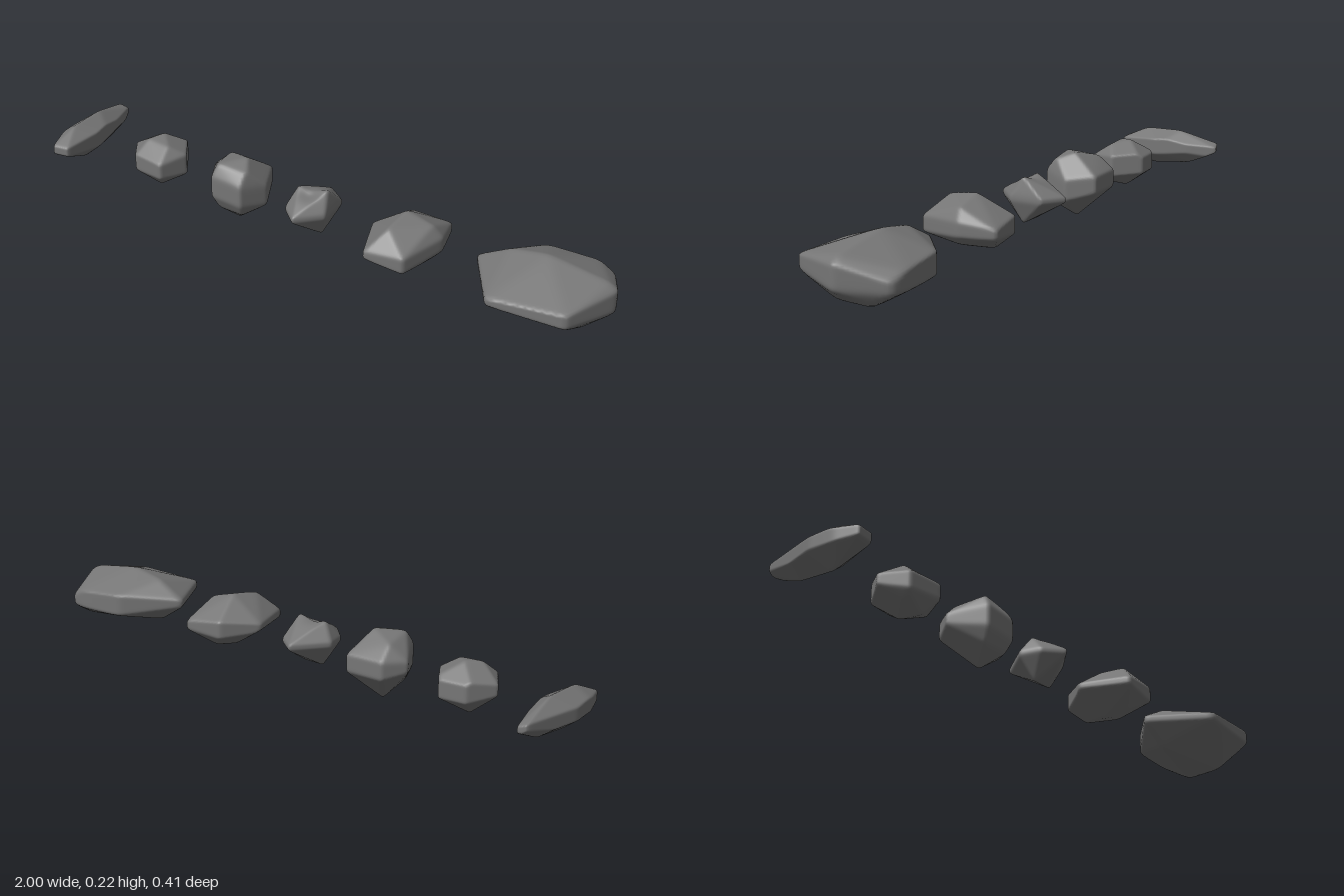
import * as THREE from 'three';
import { mergeVertices } from 'three/addons/utils/BufferGeometryUtils.js';
import { ConvexGeometry } from 'three/addons/geometries/ConvexGeometry.js';

const material = new THREE.MeshStandardMaterial({ color: 0x767676 });
const SHARPNESS = 55; // higher gives crisper edges between a stone's planes
const ALLOWANCE = 1.015; // pushes the planes out by what the soft edges take off

// Planes of the hull around the corners, relative to the center
function hullPlanes(corners, center) {
  const hull = new ConvexGeometry(corners.map((p) => p.clone().sub(center)));
  const { position, normal } = hull.attributes;
  const planes = [];
  for (let i = 0; i < position.count; i += 3) {
    const n = new THREE.Vector3().fromBufferAttribute(normal, i);
    const d = n.dot(new THREE.Vector3().fromBufferAttribute(position, i)) * ALLOWANCE;
    if (!planes.some((p) => p.n.dot(n) > 0.99)) planes.push({ n, d });
  }
  return planes;
}

// A stone: a belt of upright edges (x, z, low y, high y) with a few peaks
// (x, y, z) above and below it. A fine sphere is wrapped onto its planes.
function createStone(name, belt, peaks, dent) {
  const corners = peaks.map((p) => new THREE.Vector3(...p));
  for (const [x, z, low, high] of belt) {
    corners.push(new THREE.Vector3(x, low, z), new THREE.Vector3(x, high, z));
  }
  const box = new THREE.Box3().setFromPoints(corners);
  const center = box.getCenter(new THREE.Vector3());
  const size = box.getSize(new THREE.Vector3());
  const planes = hullPlanes(corners, center);

  const sphere = new THREE.IcosahedronGeometry(1, 18);
  sphere.deleteAttribute('normal');
  sphere.deleteAttribute('uv');
  const geometry = mergeVertices(sphere, 1e-5);
  const pos = geometry.attributes.position;
  const v = new THREE.Vector3();
  for (let i = 0; i < pos.count; i++) {
    v.fromBufferAttribute(pos, i).multiply(size);
    const sum = planes.reduce((s, p) => s + Math.max(0, p.n.dot(v) / p.d) ** SHARPNESS, 0);
    v.multiplyScalar(sum ** (-1 / SHARPNESS)).add(center);
    // Press a shallow hollow into the surface
    if (dent) v.y -= dent.depth * Math.exp(-3 * (v.distanceTo(dent.at) / dent.radius) ** 2);
    pos.setXYZ(i, v.x, v.y, v.z);
  }
  geometry.computeVertexNormals();

  const mesh = new THREE.Mesh(geometry, material);
  mesh.name = name;
  return mesh;
}

export function createModel() {
  const group = new THREE.Group();
  group.name = 'stoneRow';

  group.add(createStone('sliverStone',
    [[-0.95, -0.2, 0.12, 0.145], [-0.935, -0.203, 0.12, 0.14], [-0.903, -0.1, 0.115, 0.145],
      [-0.888, 0.02, 0.1, 0.155], [-0.91, 0.155, 0.115, 0.145], [-0.965, 0.163, 0.115, 0.145],
      [-0.99, 0.09, 0.11, 0.15], [-1, 0, 0.11, 0.15], [-0.982, -0.1, 0.11, 0.15]],
    [[-0.945, 0.187, -0.06], [-0.945, 0.185, 0.07], [-0.935, 0.06, 0.04], [-0.935, 0.075, -0.1]]));

  group.add(createStone('roundStone',
    [[-0.735, 0, 0.115, 0.15], [-0.68, -0.08, 0.1, 0.155], [-0.59, -0.09, 0.1, 0.155],
      [-0.53, 0, 0.09, 0.16], [-0.57, 0.093, 0.1, 0.15], [-0.68, 0.08, 0.1, 0.155]],
    [[-0.66, 0.198, 0.03], [-0.58, 0.192, 0.03], [-0.63, 0.205, -0.02],
      [-0.64, 0.04, 0], [-0.6, 0.055, 0.05], [-0.68, 0.08, 0.05]]));

  group.add(createStone('tallStone',
    [[-0.425, -0.02, 0.115, 0.15], [-0.38, -0.09, 0.1, 0.155], [-0.25, -0.095, 0.1, 0.155],
      [-0.21, 0, 0.07, 0.14], [-0.25, 0.093, 0.09, 0.16], [-0.36, 0.093, 0.1, 0.17]],
    [[-0.35, 0.212, 0.07], [-0.28, 0.222, 0], [-0.37, 0.2, -0.04], [-0.25, 0.2, 0.06],
      [-0.31, 0, 0.01], [-0.35, 0.055, 0.07], [-0.26, 0.05, 0.07]]));

  group.add(createStone('smallStone',
    [[-0.11, 0, 0.12, 0.135], [-0.03, -0.11, 0.12, 0.135], [0.04, -0.06, 0.12, 0.135],
      [0.045, 0.05, 0.12, 0.135], [-0.03, 0.125, 0.12, 0.135], [-0.09, 0.07, 0.12, 0.135]],
    [[-0.07, 0.195, 0.02], [0.03, 0.2, 0.01], [0.015, 0.045, 0.02], [-0.06, 0.045, 0.02]],
    { at: new THREE.Vector3(-0.025, 0.2, 0.03), radius: 0.06, depth: 0.016 }));

  group.add(createStone('mediumStone',
    [[0.19, 0, 0.11, 0.13], [0.27, -0.11, 0.09, 0.145], [0.4, -0.128, 0.1, 0.13],
      [0.43, -0.01, 0.1, 0.145], [0.38, 0.15, 0.085, 0.135], [0.25, 0.163, 0.105, 0.13]],
    [[0.31, 0.21, 0], [0.4, 0.185, 0], [0.3, 0.195, 0.1], [0.3, 0.04, 0], [0.4, 0.07, 0],
      [0.32, 0.05, -0.07], [0.33, 0.055, 0.09]]));

  group.add(createStone('largeStone',
    [[0.555, 0, 0.11, 0.135], [0.72, -0.14, 0.08, 0.15], [0.88, -0.158, 0.08, 0.14],
      [0.935, -0.148, 0.08, 0.115], [1, 0, 0.085, 0.16], [0.92, 0.178, 0.1, 0.145], [0.68, 0.2, 0.11, 0.135]],
    [[0.78, 0.21, 0], [0.97, 0.18, 0], [0.66, 0.19, 0],
      [0.93, 0.035, -0.08], [0.92, 0.035, 0.05], [0.65, 0.05, 0]]));

  return group;
}
